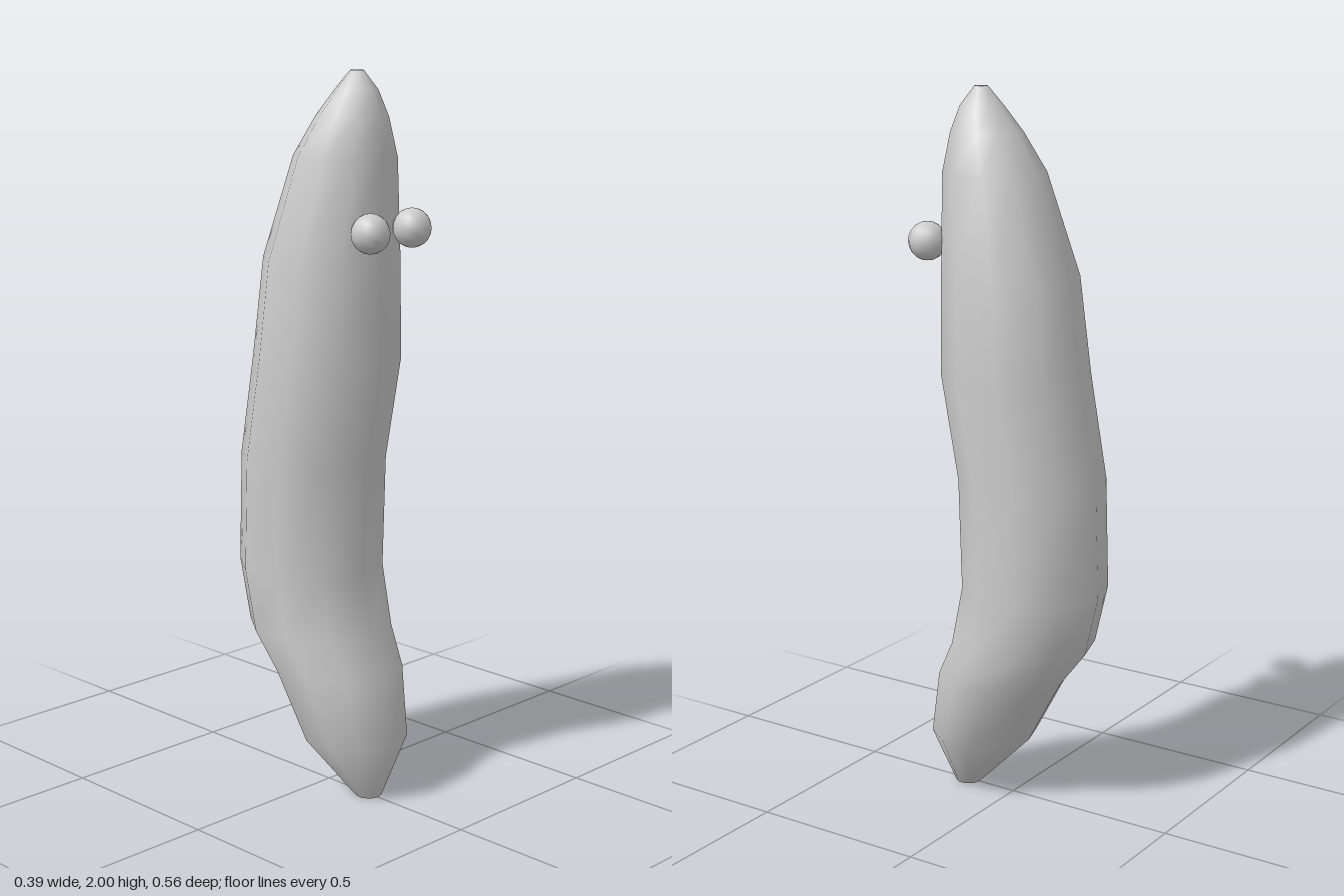
import * as THREE from 'three';

const SIDES = 10;

// Body cross-sections from bottom to top: [height, centre z, radius]
const RINGS = [
  [0, 0.155, 0.037],
  [0.17, 0.098, 0.15],
  [0.36, 0.03, 0.185],
  [0.465, -0.035, 0.201],
  [0.635, -0.073, 0.203],
  [0.945, -0.063, 0.203],
  [1.23, -0.01, 0.204],
  [1.5, 0.008, 0.187],
  [1.775, 0.059, 0.14],
  [1.88, 0.084, 0.098],
  [1.95, 0.1, 0.058],
  [2, 0.102, 0.018],
];

// Smooth skin through the rings, closed by a fan at each end
function bodyGeometry() {
  const points = [];
  const faces = [];
  for (const [y, z, r] of RINGS) {
    for (let i = 0; i < SIDES; i++) {
      const a = (i / SIDES) * Math.PI * 2;
      points.push(r * Math.sin(a), y, z + r * Math.cos(a));
    }
  }
  const last = (RINGS.length - 1) * SIDES;
  const bottom = RINGS.length * SIDES;
  const top = bottom + 1;
  points.push(0, RINGS[0][0], RINGS[0][1]);
  points.push(0, RINGS.at(-1)[0], RINGS.at(-1)[1]);
  for (let i = 0; i < SIDES; i++) {
    const j = (i + 1) % SIDES;
    for (let k = 0; k < last; k += SIDES) {
      const a = k + i, b = k + j, c = b + SIDES, d = a + SIDES;
      faces.push(a, b, c, a, c, d);
    }
    faces.push(bottom, j, i, top, last + i, last + j);
  }
  const geometry = new THREE.BufferGeometry();
  geometry.setAttribute('position', new THREE.Float32BufferAttribute(points, 3));
  geometry.setIndex(faces);
  geometry.computeVertexNormals();
  return geometry;
}

export function createModel() {
  const model = new THREE.Group();
  model.name = 'curvedCreature';

  const grey = new THREE.MeshStandardMaterial({ color: 0xcccccc });
  grey.name = 'light grey';

  const body = new THREE.Mesh(bodyGeometry(), grey);
  body.name = 'body';
  model.add(body);

  // Slightly uneven bead eyes
  const eyeGeometry = new THREE.SphereGeometry(0.053, 12, 10);
  for (const [name, x, z] of [['rightEye', -0.076, 0.226], ['leftEye', 0.097, 0.212]]) {
    const eye = new THREE.Mesh(eyeGeometry, grey);
    eye.name = name;
    eye.position.set(x, 1.59, z);
    model.add(eye);
  }
  return model;
}
